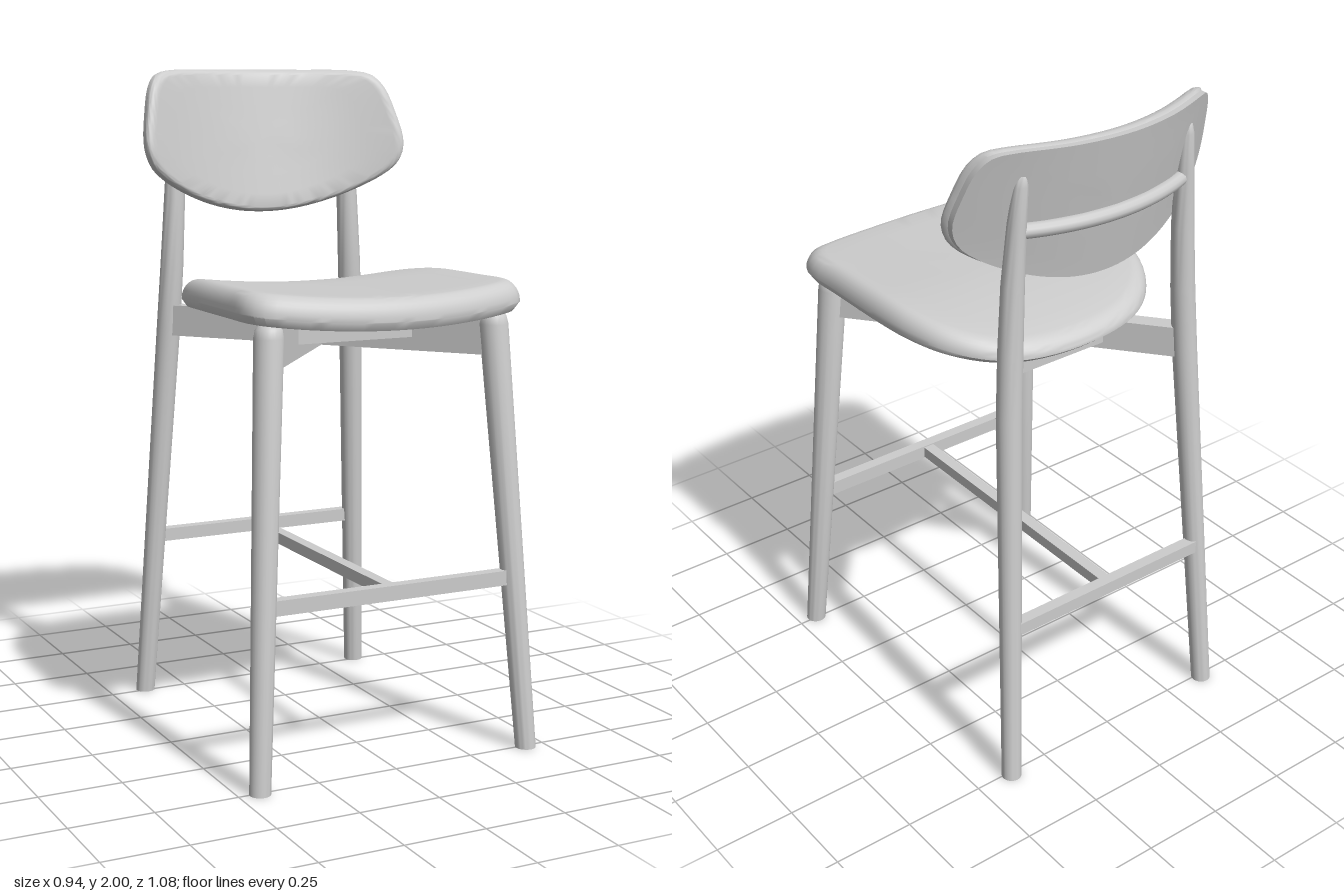
import * as THREE from 'three';
import { toCreasedNormals } from 'three/addons/utils/BufferGeometryUtils.js';

const V = (x, y, z) => new THREE.Vector3(x, y, z);

// Closed smooth outline from the right half (bottom centre to top centre), mirrored
function outline(half, count) {
  const left = half.slice(1, -1).reverse().map(([u, v]) => [-u, v]);
  const pts = half.concat(left).map(([u, v]) => V(u, v, 0));
  return new THREE.CatmullRomCurve3(pts, true, 'centripetal').getSpacedPoints(count).slice(0, count);
}

// Stack scaled copies of an outline; layers are [scale, height], place() bends them into position
function pad(ring, centreV, layers, place) {
  const n = ring.length, pos = [], idx = [];
  for (const [s, h] of layers)
    for (const p of ring) pos.push(...place(p.x * s, centreV + (p.y - centreV) * s, h));
  for (let i = 0; i < layers.length - 1; i++)
    for (let j = 0; j < n; j++) {
      const a = i * n + j, b = i * n + (j + 1) % n;
      if (layers[i + 1][0] > 0) idx.push(a, b + n, a + n);
      if (layers[i][0] > 0) idx.push(a, b, b + n);
    }
  const geo = new THREE.BufferGeometry();
  geo.setAttribute('position', new THREE.Float32BufferAttribute(pos, 3));
  geo.setIndex(idx);
  return toCreasedNormals(geo, 0.7);
}

// Flat underside, rounded upper rim, gently closed top
function padLayers(bottom, top, rim, rimH) {
  const out = [0, 0.25, 0.5, 0.75, 1 - rim * 0.3].map(s => [s, bottom]);
  out.push([1, bottom + (top - bottom) * 0.25]);
  for (let i = 0; i <= 8; i++) {
    const a = i / 8 * Math.PI / 2;
    out.push([1 - rim * (1 - Math.cos(a)), top - rimH + rimH * Math.sin(a)]);
  }
  for (const s of [0.75, 0.5, 0.25, 0]) out.push([s, top]);
  return out;
}

// Round tapered leg through a list of [x, y, z, radius]
function legGeometry(stations, sides = 24) {
  const pos = [], idx = [];
  for (const [x, y, z, r] of stations)
    for (let j = 0; j < sides; j++) {
      const a = j / sides * Math.PI * 2;
      pos.push(x + r * Math.cos(a), y, z - r * Math.sin(a));
    }
  for (let i = 0; i < stations.length - 1; i++)
    for (let j = 0; j < sides; j++) {
      const a = i * sides + j, b = i * sides + (j + 1) % sides;
      idx.push(a, b, b + sides, a, b + sides, a + sides);
    }
  const geo = new THREE.BufferGeometry();
  geo.setAttribute('position', new THREE.Float32BufferAttribute(pos, 3));
  geo.setIndex(idx);
  return toCreasedNormals(geo, 0.9);
}

export function createModel() {
  const group = new THREE.Group();
  const grey = new THREE.MeshStandardMaterial({ color: 0xcccccc });
  grey.name = 'light grey';

  const add = (name, geo, x = 0, y = 0, z = 0) => {
    const mesh = new THREE.Mesh(geo, grey);
    mesh.name = name;
    mesh.position.set(x, y, z);
    group.add(mesh);
    return mesh;
  };

  // Seat: wide at the front, rounded at the back, dished across and falling to the rear (v = -z)
  const seatRing = outline([
    [0, -0.54], [0.2, -0.525], [0.35, -0.495], [0.41, -0.47], [0.438, -0.42], [0.437, -0.3],
    [0.43, -0.05], [0.415, 0.06], [0.375, 0.17], [0.3, 0.26], [0.2, 0.315], [0, 0.34],
  ], 96);
  const seatLayers = padLayers(0, 0.09, 0.11, 0.065);
  add('seat', pad(seatRing, -0.1, seatLayers, (x, v, h) => {
    const back = Math.max(0, 0.1 + v);
    const drop = 0.28 * back * back * (0.3 + 0.7 * h / 0.09);
    return [x, 1.285 + h + 0.16 * x * x - drop, -v];
  }));

  // Backrest: a thin shell and a cushion, both curved around the sitter and tilted back
  const backRing = outline([
    [0, 1.557], [0.12, 1.568], [0.25, 1.605], [0.37, 1.665], [0.42, 1.71], [0.44, 1.77],
    [0.425, 1.87], [0.4, 1.95], [0.37, 1.985], [0.32, 1.997], [0.15, 2.0], [0, 2.0],
  ], 96);
  const bendBack = (x, y, h) => [x, y, -0.472 + h + 0.8 * x * x - 0.21 * (y - 1.78)];
  const shellLayers = [[0, 0], [0.25, 0], [0.5, 0], [0.75, 0], [0.985, 0], [0.985, 0.02],
    [0.75, 0.02], [0.5, 0.02], [0.25, 0.02], [0, 0.02]];
  add('backrestShell', pad(backRing, 1.78, shellLayers, bendBack));
  add('backrestCushion', pad(backRing, 1.78, padLayers(0.02, 0.062, 0.08, 0.03), bendBack));

  // Curved rod behind the backrest
  const rodPoints = [];
  for (let i = -4; i <= 4; i++) {
    const x = i * 0.0725;
    rodPoints.push(V(x, 1.755, -0.472 + 0.75 * x * x));
  }
  add('backRod', new THREE.TubeGeometry(new THREE.CatmullRomCurve3(rodPoints), 32, 0.022, 12));

  for (const [s, side] of [[1, 'left'], [-1, 'right']]) {
    // Front leg, thicker toward its rounded top
    add(side + 'FrontLeg', legGeometry([
      [s * 0.437, 0, 0.507, 0], [s * 0.437, 0, 0.507, 0.031], [s * 0.361, 1.27, 0.413, 0.043],
      [s * 0.36, 1.295, 0.412, 0.038], [s * 0.36, 1.308, 0.411, 0.025], [s * 0.36, 1.312, 0.411, 0],
    ]));
    // Back leg, bending slightly above the seat and tapering to a round tip
    add(side + 'BackLeg', legGeometry([
      [s * 0.383, 0, -0.51, 0], [s * 0.383, 0, -0.51, 0.03], [s * 0.322, 1.2, -0.418, 0.037],
      [s * 0.311, 1.4, -0.409, 0.036], [s * 0.301, 1.6, -0.406, 0.033], [s * 0.292, 1.78, -0.412, 0.027],
      [s * 0.286, 1.89, -0.42, 0.021], [s * 0.284, 1.92, -0.423, 0.014], [s * 0.284, 1.932, -0.424, 0],
    ]));

    // Diagonal seat rail from the front leg to the opposite back leg, with a raised front end
    const dx = -0.68 * s, dz = -0.83, len = Math.hypot(dx, dz);
    const profile = new THREE.Shape([
      [0, 1.18], [len, 1.18], [len, 1.275], [0.28, 1.275], [0.08, 1.3], [0, 1.3],
    ].map(p => new THREE.Vector2(...p)));
    const railGeo = new THREE.ExtrudeGeometry(profile, { depth: 0.05, bevelEnabled: false });
    railGeo.translate(0, 0, -0.025);
    const rail = add(side + 'SeatRail', railGeo, s * 0.36, 0, 0.413);
    rail.rotation.y = Math.atan2(-dz, dx);
  }

  // Short cross pieces joining the rails under the seat
  add('frontSeatBrace', new THREE.BoxGeometry(0.44, 0.07, 0.04), 0, 1.255, 0.22);
  add('backSeatBrace', new THREE.BoxGeometry(0.36, 0.07, 0.04), 0, 1.235, -0.23);

  // Foot rails: one across each pair of legs and one joining them
  add('frontFootRail', new THREE.BoxGeometry(0.79, 0.044, 0.036), 0, 0.522, 0.468);
  add('backFootRail', new THREE.BoxGeometry(0.7, 0.04, 0.036), 0, 0.522, -0.48);
  add('middleFootRail', new THREE.BoxGeometry(0.036, 0.036, 0.93), 0, 0.522, -0.006);

  return group;
}
